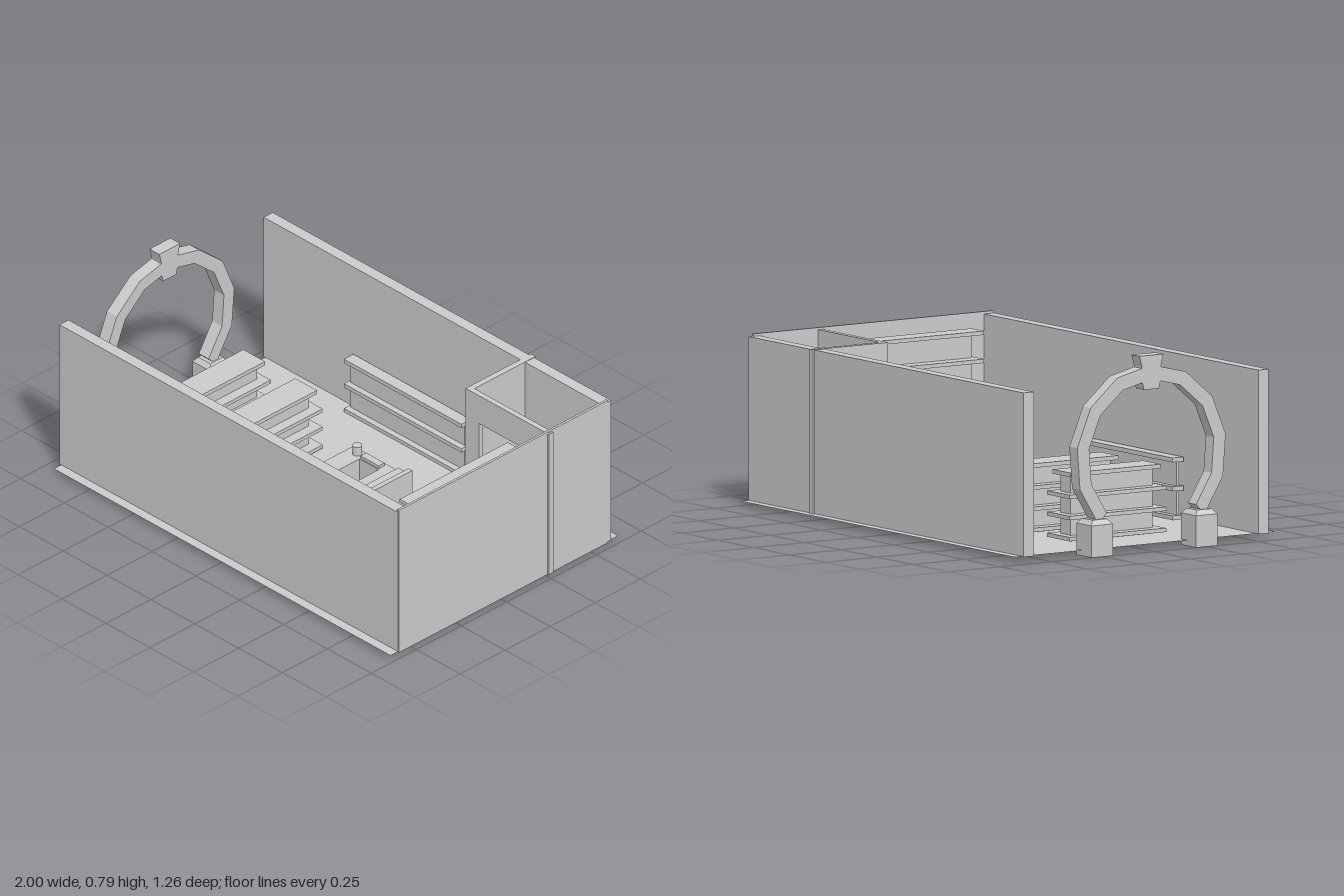
import * as THREE from 'three';

const mat = new THREE.MeshStandardMaterial({ color: 0xcccccc, flatShading: true, side: THREE.DoubleSide });

export function createModel() {
  const model = new THREE.Group();

  const group = (name, parent = model) => {
    const g = new THREE.Group();
    g.name = name;
    parent.add(g);
    return g;
  };
  const add = (parent, name, geo, x = 0, y = 0, z = 0) => {
    const m = new THREE.Mesh(geo, mat);
    m.name = name;
    m.position.set(x, y, z);
    parent.add(m);
    return m;
  };
  // Box given by its limits on each axis
  const box = (parent, name, x0, x1, y0, y1, z0, z1) =>
    add(parent, name, new THREE.BoxGeometry(x1 - x0, y1 - y0, z1 - z0),
      (x0 + x1) / 2, (y0 + y1) / 2, (z0 + z1) / 2);
  const polygon = (pts) => new THREE.Shape(pts.map((p) => new THREE.Vector2(...p)));

  // Floor sheet and the three outer walls; the -x end is open
  const FLOOR = 0.022;
  const floor = add(model, 'floor', new THREE.PlaneGeometry(1.92, 1.265), 0.025, FLOOR, -0.004);
  floor.rotation.x = -Math.PI / 2;
  box(model, 'backWall', -0.945, 0.985, 0.02, 0.68, -0.597, -0.547);
  box(model, 'frontWall', -0.945, 0.985, 0.02, 0.68, 0.537, 0.587);
  box(model, 'endWall', 0.977, 0.988, 0.017, 0.69, -0.577, 0.583);

  // Corner room with a doorway
  const room = group('cornerRoom');
  box(room, 'roomSideWall', 0.52, 0.546, 0.018, 0.682, -0.605, -0.265);
  const doorway = polygon([
    [0.52, 0.018], [0.595, 0.018], [0.595, 0.55], [0.85, 0.55],
    [0.85, 0.018], [0.995, 0.018], [0.995, 0.682], [0.52, 0.682],
  ]);
  add(room, 'roomDoorWall', new THREE.ExtrudeGeometry(doorway, { depth: 0.024, bevelEnabled: false }), 0, 0, -0.266);

  // Low shelves along both long walls
  for (const s of [-1, 1]) {
    const shelf = group(s < 0 ? 'backWallShelf' : 'frontWallShelf');
    shelf.position.z = s < 0 ? -0.543 : 0.53;
    const depth = -s * 0.052;
    const [z0, z1] = [Math.min(0, depth), Math.max(0, depth)];
    for (const y of [0.02, 0.137, 0.253]) box(shelf, 'board', -0.43, 0.24, y, y + 0.018, z0, z1);
    box(shelf, 'backPanel', -0.42, 0.23, 0.022, 0.26, -s * 0.02 - 0.006, -s * 0.02 + 0.006);
  }

  // Tall rack on the end wall
  const rack = group('endWallRack');
  for (let i = 0; i < 6; i++) {
    const y = 0.05 + i * 0.113;
    box(rack, 'board', 0.865, 0.953, y, y + 0.016, -0.14, 0.46);
  }
  box(rack, 'backPanel', 0.925, 0.945, FLOOR, 0.62, -0.12, 0.44);

  // Two free-standing display racks
  for (const x of [-0.663, -0.367]) {
    const g = group('displayRack');
    g.position.x = x;
    for (const y of [0.03, 0.115, 0.2]) box(g, 'board', -0.079, 0.079, y, y + 0.016, -0.235, 0.232);
    box(g, 'topBoard', -0.062, 0.062, 0.285, 0.302, -0.22, 0.217);
    box(g, 'core', -0.035, 0.035, FLOOR, 0.29, -0.2, 0.197);
  }

  // U-shaped checkout counter
  const counter = group('counter');
  const plan = polygon([
    [-0.028, 0.153], [0.305, 0.153], [0.305, -0.14], [0.167, -0.14],
    [0.167, 0.103], [0.057, 0.103], [0.057, -0.14], [-0.028, -0.14],
  ]);
  const body = add(counter, 'counterBody', new THREE.ExtrudeGeometry(plan, { depth: 0.175, bevelEnabled: false }), 0, FLOOR, 0);
  body.rotation.x = -Math.PI / 2;
  box(counter, 'counterShelf', 0.228, 0.285, 0.197, 0.212, -0.153, 0.15);
  box(counter, 'counterScreen', 0.285, 0.307, FLOOR, 0.235, -0.153, 0.153);
  box(counter, 'counterTray', 0.058, 0.162, 0.197, 0.21, -0.14, -0.108);
  add(counter, 'counterCup', new THREE.CylinderGeometry(0.02, 0.02, 0.04, 20), 0.022, 0.217, -0.125);

  // Round table
  const table = group('roundTable');
  table.position.set(0.7, 0, 0.215);
  add(table, 'tableTop', new THREE.CylinderGeometry(0.112, 0.112, 0.02, 40), 0, 0.25, 0);
  add(table, 'tableLeg', new THREE.CylinderGeometry(0.022, 0.022, 0.22, 20), 0, 0.132, 0);
  add(table, 'tableBase', new THREE.CylinderGeometry(0.135, 0.135, 0.004, 40), 0, 0.019, 0);

  // Entrance arch: faceted horseshoe ring, keystone and two feet
  const arch = group('entranceArch');
  const extrudeX = (name, pts) => {
    const m = add(arch, name, new THREE.ExtrudeGeometry(polygon(pts), { depth: 0.056, bevelEnabled: false }), -0.975, 0, 0);
    m.rotation.y = Math.PI / 2;
  };
  const arc = (r) => Array.from({ length: 11 }, (_, i) => {
    const a = THREE.MathUtils.degToRad(-135 + i * 27);
    return [r * Math.sin(a), 0.385 + r * Math.cos(a)];
  });
  extrudeX('archRing', [...arc(0.363), ...arc(0.305).reverse()]);
  extrudeX('keystone', [
    [-0.058, 0.787], [0.058, 0.787], [0.046, 0.743], [0.046, 0.69],
    [0.036, 0.65], [-0.036, 0.65], [-0.046, 0.69], [-0.046, 0.743],
  ]);
  for (const z of [-0.255, 0.25]) {
    const foot = group('archFoot', arch);
    box(foot, 'footBlock', -1, -0.893, 0, 0.128, z - 0.051, z + 0.051);
    const cap = new THREE.CylinderGeometry(0.05, 0.0735, 0.02, 4, 1).rotateY(Math.PI / 4);
    add(foot, 'footCap', cap, -0.947, 0.138, z);
  }

  return model;
}
